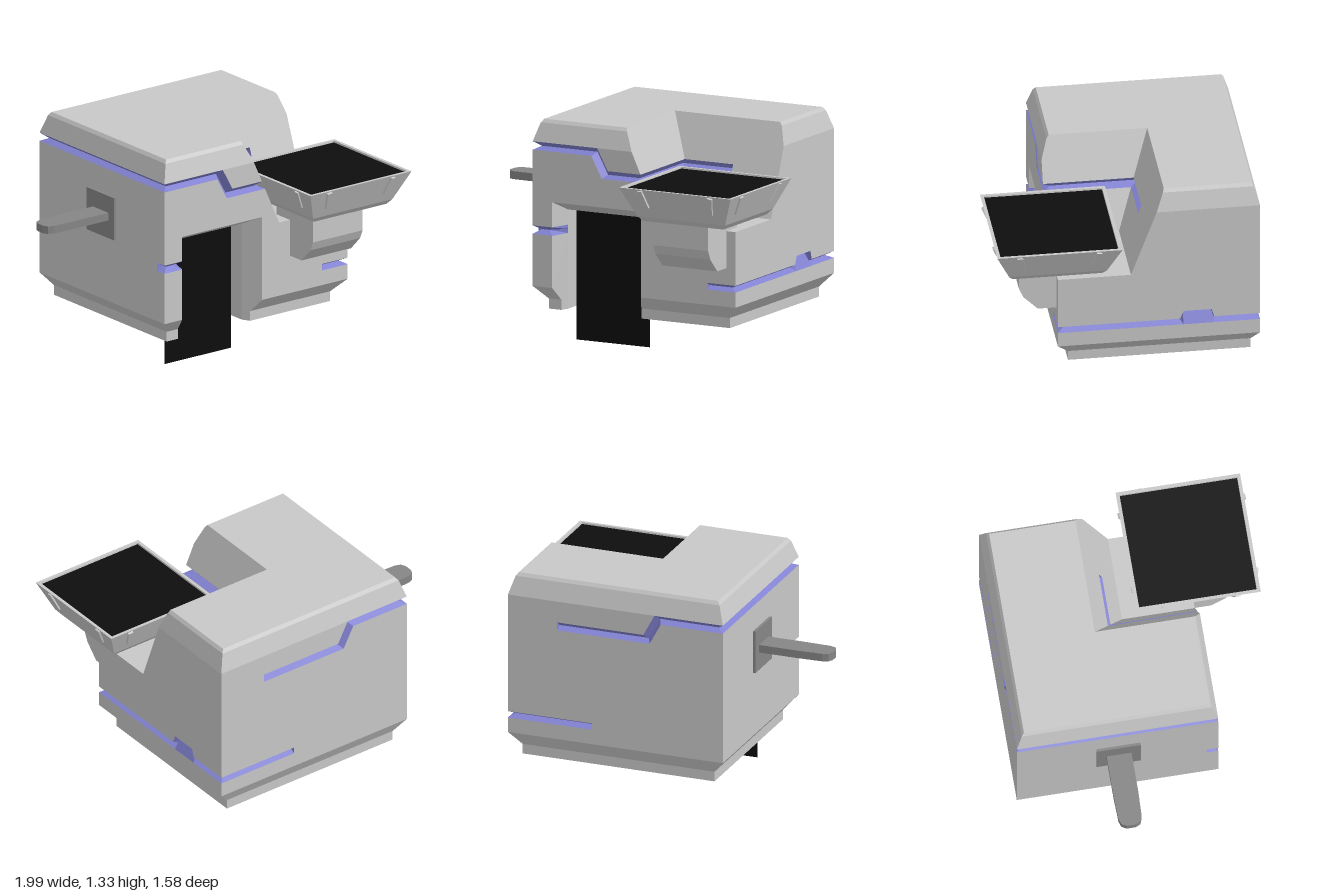
import * as THREE from 'three';
import { mergeGeometries } from 'three/addons/utils/BufferGeometryUtils.js';

const AXES = { x: 0, y: 1, z: 2 };

function fromTriangles(list) {
  const g = new THREE.BufferGeometry();
  g.setAttribute('position', new THREE.Float32BufferAttribute(list.flat(), 3));
  g.computeVertexNormals();
  return g;
}

// Flat polygon given by 3D corners, facing the signed direction of the axis
function face(axis, sign, pts) {
  const k = AXES[axis], [a, b] = [0, 1, 2].filter(i => i !== k);
  const flat = pts.map(p => new THREE.Vector2(p[a], p[b]));
  const out = [];
  for (const t of THREE.ShapeUtils.triangulateShape(flat, [])) {
    const [p, q, r] = t.map(i => new THREE.Vector3(...pts[i]));
    const n = q.clone().sub(p).cross(r.clone().sub(p)).getComponent(k);
    const tri = t.map(i => pts[i]);
    out.push(...(n * sign < 0 ? tri.reverse() : tri));
  }
  return fromTriangles(out);
}

// Skin over stations running rightward (seen from outside), each a profile from top to bottom
function loft(stations, closed = false) {
  const out = [], n = stations.length;
  for (let i = 0; i < (closed ? n : n - 1); i++) {
    const s = stations[i], t = stations[(i + 1) % n];
    for (let j = 0; j < s.length - 1; j++) {
      out.push(s[j], s[j + 1], t[j + 1], s[j], t[j + 1], t[j]);
    }
  }
  return fromTriangles(out);
}

// Body limits and the sloped corner cut-out
const L = -0.54, R = 0.81, F = 0.4, B = -0.79, D = 0.04;
const nx = y => 0.06 + 0.245 * (1.33 - y) / 0.54;
const nz = y => -0.23 + 0.2 * (1.33 - y) / 0.54;
const onZ = (z, pts) => pts.map(([x, y]) => [x, y, z]);
const onX = (x, pts) => pts.map(([z, y]) => [x, y, z]);
const onY = (y, pts) => pts.map(([x, z]) => [x, y, z]);

// V groove station: top, inset middle and bottom
const vee = (x, z, dx, dz, top, mid, bot) => [[x, top, z], [x + dx, mid, z + dz], [x, bot, z]];

function roof() {
  const ring = (y, d) => [[L + d, F - d], [nx(y), F - d], [nx(y), nz(y)],
    [R - d, nz(y)], [R - d, B + d], [L + d, B + d]].map(([x, z]) => [x, y, z]);
  const rings = [ring(1.33, 0.05), ring(1.31, 0.035), ring(1.2, 0)];
  const corners = rings[0].map((_, i) => rings.map(r => r[i]));
  return mergeGeometries([loft(corners, true), face('y', 1, rings[0])]);
}

function walls() {
  const band = (a, b) => face('x', 1, [[nx(a), a, F], [nx(a), a, nz(a)], [nx(b), b, nz(b)], [nx(b), b, F]]);
  return mergeGeometries([
    // front
    face('z', 1, onZ(F, [[L, 1.15], [-0.15, 1.15], [-0.08, 1.02], [nx(1.02), 1.02], [nx(0.79), 0.79],
      [R, 0.79], [R, 0.47], [0.62, 0.47], [0.62, 0.43], [R, 0.43], [R, 0.34], [0.18, 0.34],
      [0.18, 0.85], [-0.41, 0.85], [-0.41, 0.7], [L, 0.7]])),
    face('z', 1, onZ(F, [[-0.11, 1.2], [nx(1.2), 1.2], [nx(1.07), 1.07], [-0.04, 1.07]])),
    face('z', 1, onZ(F, [[L, 0.65], [-0.41, 0.65], [-0.41, 0.34], [L, 0.34]])),
    // back
    face('z', -1, onZ(B, [[L, 0.34], [R, 0.34], [R, 0.43], [0.28, 0.43], [0.28, 0.47], [R, 0.47], [R, 1.2],
      [-0.11, 1.2], [-0.04, 1.07], [0.5, 1.07], [0.5, 1.02], [-0.08, 1.02], [-0.15, 1.15], [L, 1.15]])),
    // left side of the body at +x, then the side at -x
    face('x', 1, onX(R, [[F, 0.47], [F, 0.79], [nz(0.79), 0.79], [nz(1.2), 1.2], [B, 1.2], [B, 0.47],
      [-0.52, 0.47], [-0.505, 0.52], [-0.34, 0.52], [-0.32, 0.47]])),
    face('x', 1, onX(R, [[F, 0.34], [F, 0.43], [B, 0.43], [B, 0.34]])),
    face('x', -1, onX(L, [[F, 0.34], [F, 0.65], [0.33, 0.65], [0.33, 0.7], [F, 0.7], [F, 1.15], [B, 1.15], [B, 0.34]])),
    // corner cut-out
    band(0.79, 1.02), band(1.07, 1.2),
    face('z', 1, [[nx(0.79), 0.79], [R, 0.79], [R, 1.2], [nx(1.2), 1.2], [nx(1.07), 1.07], [0.5, 1.07],
      [0.5, 1.02], [nx(1.02), 1.02]].map(([x, y]) => [x, y, nz(y)])),
    face('y', 1, onY(0.79, [[nx(0.79), F], [R, F], [R, nz(0.79)], [nx(0.79), nz(0.79)]])),
  ]);
}

function plinth() {
  const foot = (x, z, xi, zi) => [[x, 0.34, z], [xi, 0.26, zi], [xi, 0.2, zi]];
  return mergeGeometries([
    loft([foot(0.18, F, 0.145, 0.33), foot(R, F, 0.735, 0.33), foot(R, B, 0.735, -0.745),
      foot(L, B, -0.47, -0.745), foot(L, F, -0.47, 0.33), foot(-0.41, F, -0.387, 0.33)]),
    face('y', -1, onY(0.2, [[0.145, 0.33], [0.735, 0.33], [0.735, -0.745], [-0.47, -0.745], [-0.47, 0.33],
      [-0.387, 0.33], [-0.37, 0.28], [-0.37, -0.68], [0.12, -0.68], [0.12, 0.28]])),
  ]);
}

function doorway() {
  return mergeGeometries([
    // bevelled frame
    face('z', 1, [[0.18, 0.85, F], [0.12, 0.79, 0.28], [0.12, 0.2, 0.28], [0.145, 0.2, 0.33], [0.145, 0.26, 0.33], [0.18, 0.34, F]]),
    face('z', 1, [[-0.41, 0.65, F], [-0.37, 0.65, 0.28], [-0.37, 0.2, 0.28], [-0.387, 0.2, 0.33], [-0.387, 0.26, 0.33], [-0.41, 0.34, F]]),
    face('z', 1, [[-0.41, 0.85, F], [-0.37, 0.79, 0.28], [-0.37, 0.7, 0.28], [-0.41, 0.7, F]]),
    face('z', 1, [[-0.41, 0.85, F], [0.18, 0.85, F], [0.12, 0.79, 0.28], [-0.37, 0.79, 0.28]]),
    // inner room, open below
    face('x', -1, onX(0.12, [[0.28, 0.2], [0.28, 0.79], [-0.68, 0.79], [-0.68, 0.2]])),
    face('x', 1, onX(-0.37, [[0.28, 0.2], [0.28, 0.79], [-0.68, 0.79], [-0.68, 0.2]])),
    face('z', 1, onZ(-0.68, [[-0.37, 0.2], [0.12, 0.2], [0.12, 0.79], [-0.37, 0.79]])),
    face('y', -1, onY(0.79, [[-0.37, 0.28], [0.12, 0.28], [0.12, -0.68], [-0.37, -0.68]])),
  ]);
}

function upperGroove() {
  const lo = [1.07, 1.04, 1.02], hi = [1.2, 1.17, 1.15];
  const jogLow = (z, dz) => [[-0.04, 1.07, z], [-0.06, 1.04, z + dz], [-0.08, 1.02, z]];
  const jogHigh = (z, dz) => [[-0.11, 1.2, z], [-0.13, 1.17, z + dz], [-0.15, 1.15, z]];
  const [t, m, b] = lo;
  return loft([
    vee(0.5, B, 0, 0, ...lo), vee(0.5, B, 0, D, ...lo), jogLow(B, D), jogHigh(B, D),
    vee(L, B, D, D, ...hi), vee(L, F, D, -D, ...hi), jogHigh(F, -D), jogLow(F, -D),
    [[nx(t), t, F], [nx(m) - D, m, F - D], [nx(b), b, F]],
    [[nx(t), t, nz(t)], [nx(m) - D, m, nz(m) - D], [nx(b), b, nz(b)]],
    [[0.5, t, nz(t)], [0.5, m, nz(m) - D], [0.5, b, nz(b)]],
    [[0.5, t, nz(t)], [0.5, m, nz(m)], [0.5, b, nz(b)]],
  ]);
}

function lowerGroove() {
  const y = [0.47, 0.45, 0.43], up = [0.52, 0.505, 0.43];
  return loft([
    vee(0.62, F, 0, 0, ...y), vee(0.62, F, 0, -D, ...y), vee(R, F, -D, -D, ...y),
    vee(R, -0.32, -D, 0, ...y), vee(R, -0.34, -D, 0, ...up),
    vee(R, -0.505, -D, 0, ...up), vee(R, -0.52, -D, 0, ...y),
    vee(R, B, -D, D, ...y), vee(0.28, B, 0, D, ...y), vee(0.28, B, 0, 0, ...y),
  ]);
}

function doorGroove() {
  const y = [0.7, 0.675, 0.65];
  return loft([vee(L, 0.33, 0, 0, ...y), vee(L, 0.33, D, 0, ...y), vee(L, F, D, -D, ...y),
    vee(-0.41, F, -D, -D, ...y), vee(-0.37, 0.28, 0, 0, ...y)]);
}

function trayShell() {
  const profile = [[1.055, 0.022], [1.067, 0.02], [1.067, 0], [0.89, 0.08], [0.86, 0.105]];
  const corners = [[-1, 1], [1, 1], [1, -1], [-1, -1]].map(([sx, sz]) =>
    profile.map(([y, d]) => [sx * (0.372 - d), y, sz * (0.368 - d)]));
  return mergeGeometries([loft(corners, true), face('y', -1, corners.map(c => c[4]))]);
}

export function createModel() {
  const model = new THREE.Group();
  const mat = (name, color, side = THREE.FrontSide) => {
    const m = new THREE.MeshStandardMaterial({ color, side });
    m.name = name;
    return m;
  };
  const grey = mat('light grey', 0xc8c8c8);
  const dark = mat('mid grey', 0x868686);
  const purple = mat('violet', 0x8282d2);
  const black = mat('black', 0x0d0d0d, THREE.DoubleSide);
  const add = (name, geo, material, parent = model) => {
    const mesh = new THREE.Mesh(geo, material);
    mesh.name = name;
    parent.add(mesh);
    return mesh;
  };

  add('roof', roof(), grey);
  add('walls', walls(), grey);
  add('plinth', plinth(), grey);
  add('doorway', doorway(), grey);
  add('upperGroove', upperGroove(), purple);
  add('lowerGroove', lowerGroove(), purple);
  add('doorGroove', doorGroove(), purple);
  add('doorPanel', new THREE.PlaneGeometry(0.49, 0.79), black).position.set(-0.125, 0.395, 0.18);

  // Tray with a dark surface and two ribs on each side
  const tray = new THREE.Group();
  tray.name = 'tray';
  tray.position.set(0.615, 0, 0.412);
  model.add(tray);
  add('trayShell', trayShell(), grey, tray);
  add('traySurface', new THREE.PlaneGeometry(0.705, 0.697).rotateX(-Math.PI / 2), black, tray).position.y = 1.057;
  for (let i = 0; i < 4; i++) {
    const side = new THREE.Group();
    side.name = 'trayRibs';
    side.rotation.y = i * Math.PI / 2;
    tray.add(side);
    for (const s of [-1, 1]) {
      const rib = add('rib', new THREE.BoxGeometry(0.032, 0.12, 0.024), grey, side);
      rib.position.set(s * 0.222, 1.006, 0.342);
      rib.rotation.set(0.43, 0, -s * 0.2);
    }
  }

  // Bracket under the tray
  const bracket = new THREE.Shape([[0.27, 0.88], [0.27, 0.79], [0.39, 0.79], [0.39, 0.57], [0.51, 0.57],
    [0.595, 0.655], [0.62, 0.71], [0.62, 0.88]].map(p => new THREE.Vector2(...p)));
  add('bracket', new THREE.ExtrudeGeometry(bracket, { depth: 0.365, bevelEnabled: false })
    .rotateY(-Math.PI / 2).translate(0.75, 0, 0), grey);

  // Side lever with mounting plate
  add('leverPlate', new THREE.BoxGeometry(0.02, 0.26, 0.26), dark).position.set(-0.546, 0.865, -0.19);
  const lever = new THREE.Shape([[-0.54, 0.115], [-0.54, 0.262], [-0.8, 0.262], [-0.95, 0.257], [-0.985, 0.245],
    [-1, 0.215], [-1, 0.162], [-0.985, 0.132], [-0.95, 0.12], [-0.8, 0.115]].map(p => new THREE.Vector2(...p)));
  add('lever', new THREE.ExtrudeGeometry(lever, { depth: 0.047, bevelEnabled: false })
    .rotateX(-Math.PI / 2).translate(0, 0.844, 0), dark);

  return model;
}
